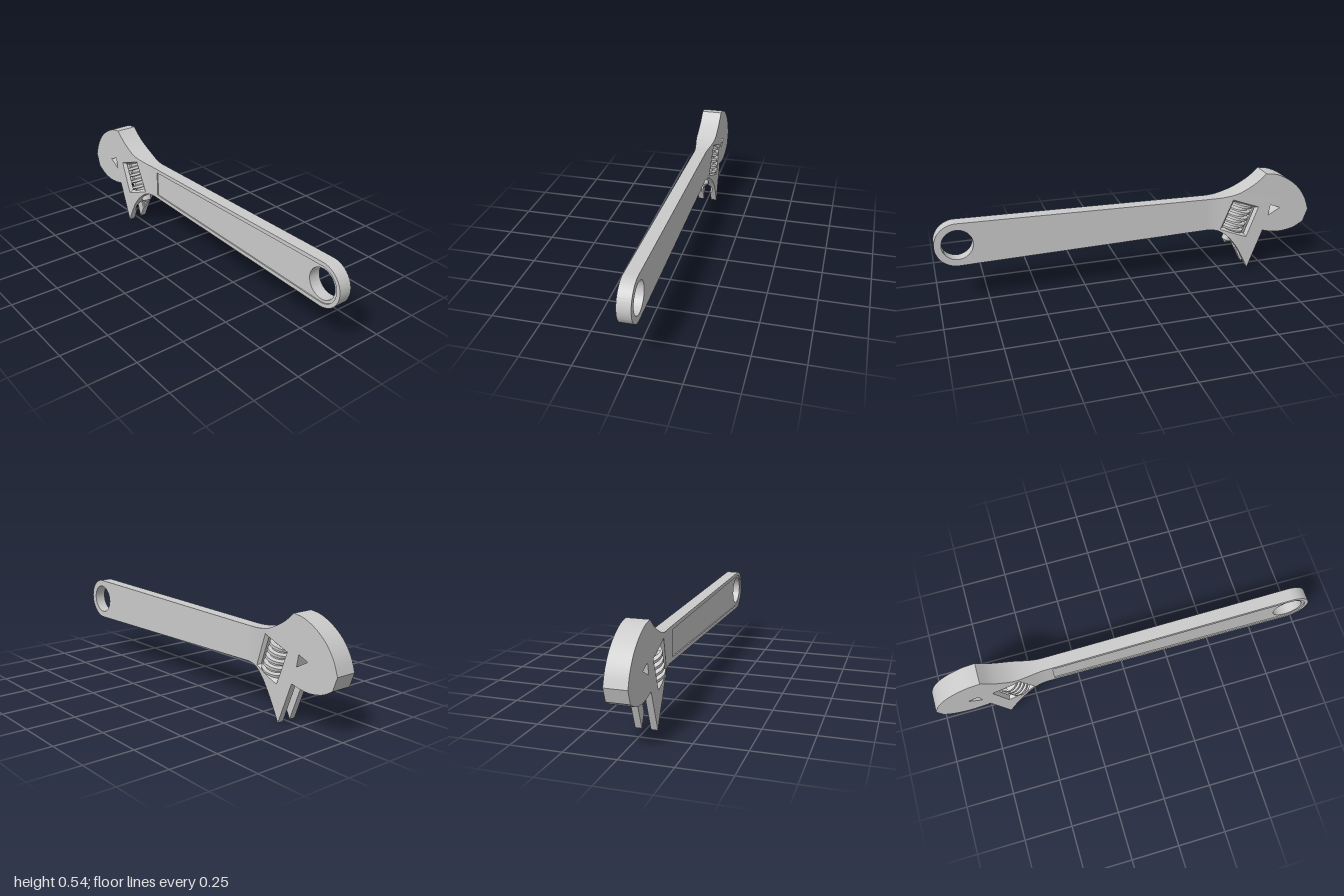
import * as THREE from 'three';
import { mergeGeometries, toCreasedNormals } from 'three/addons/utils/BufferGeometryUtils.js';

const V = (x, y) => new THREE.Vector2(x, y);
const TILT = 0.362;                       // lean of the jaw slide
const TIP = V(-0.655, 0);                 // lower point of the head
const N = V(Math.cos(TILT), Math.sin(TILT));
const U = V(-Math.sin(TILT), Math.cos(TILT));
// Slide coordinates: n across the slide, s up along it
const P = (n, s) => V(TIP.x + n * N.x + s * U.x, TIP.y + n * N.y + s * U.y);
const across = p => (p.x - TIP.x) * N.x + (p.y - TIP.y) * N.y;
const along = p => (p.x - TIP.x) * U.x + (p.y - TIP.y) * U.y;

const WIN = { n: 0.159, s: 0.257, outN: 0.079, outS: 0.089, inN: 0.066, inS: 0.078 };
const BORE = 0.08, BORE_R = 0.037;
const Z = [0.022, 0.03, 0.036, 0.055];    // half-thickness steps of the head
const JOIN = -0.42, HANDLE_Z = 0.033;

const curve = (...pts) => new THREE.SplineCurve(pts.map(p => V(...p))).getPoints(20);
const belly = curve([-0.655, 0], [-0.615, 0.08], [-0.58, 0.14], [-0.535, 0.195], [-0.48, 0.233], [JOIN, 0.243]);
const nape = curve([JOIN, 0.418], [-0.49, 0.421], [-0.57, 0.436], [-0.634, 0.463], [-0.687, 0.495], [-0.735, 0.537]);
const crown = curve([-0.735, 0.537], [-0.8, 0.525], [-0.87, 0.49], [-0.93, 0.44], [-0.975, 0.375], [-1, 0.307]);
const jaw = curve([-0.976, 0.238], [-0.92, 0.208], [-0.85, 0.195], [-0.785, 0.2], [-0.735, 0.212]);
const rest = [...nape, ...crown.slice(1), ...jaw];

// Part of the belly curve before or after the line n = limit
function bellyPart(limit, after) {
  const i = belly.findIndex(p => across(p) > limit);
  const a = belly[i - 1], b = belly[i];
  const hit = a.clone().lerp(b, (limit - across(a)) / (across(b) - across(a)));
  return after ? [hit, ...belly.slice(i)] : [...belly.slice(0, i), hit];
}

// Head section; w is the half width of the bore there, slot opens it to the jaw edge
function headSection(w, slot) {
  const { n, s, outN, outS, inN, inS } = WIN;
  let pts = [...belly, ...rest];
  if (w) {
    const left = n - inN, right = n + inN, top = s + inS, low = s - inS;
    const entry = slot ? [P(left, 0.225)]
      : [...bellyPart(BORE - w, false), P(BORE - w, top - 0.002), P(left, top - 0.002)];
    pts = [...entry, P(left, top), P(right, top), P(right, low), P(BORE + w, low),
      ...bellyPart(BORE + w, true), ...rest];
  }
  const shape = new THREE.Shape(pts);
  if (!w) shape.holes.push(new THREE.Path([P(n - outN, s - outS), P(n + outN, s - outS), P(n + outN, s + outS), P(n - outN, s + outS)]));
  shape.holes.push(new THREE.Path([V(-0.83, 0.334), V(-0.773, 0.356), V(-0.762, 0.297)]));
  return shape;
}

function slab(shape, z0, z1) {
  const g = new THREE.ExtrudeGeometry(shape, { depth: z1 - z0, bevelEnabled: false, curveSegments: 40 });
  return g.translate(0, 0, z0);
}

// Cut the triangles that cross x = c so the faces can bend there
function splitAtX(tris, c) {
  const clip = (poly, sign) => poly.flatMap((a, i) => {
    const b = poly[(i + 1) % poly.length], da = (a.x - c) * sign, db = (b.x - c) * sign;
    const out = da >= 0 ? [a] : [];
    if (da * db < 0) out.push(a.clone().lerp(b, da / (da - db)));
    return out;
  });
  return tris.flatMap(t => {
    if (t.every(p => p.x > c - 1e-6) || t.every(p => p.x < c + 1e-6)) return [t];
    return [1, -1].flatMap(sign => {
      const q = clip(t, sign), fan = [];
      for (let i = 2; i < q.length; i++) fan.push([q[0], q[i - 1], q[i]]);
      return fan;
    });
  });
}

function headGeometry() {
  const layers = [slab(headSection(0.034, true), -Z[0], Z[0])];
  for (let i = 0; i < 3; i++) {
    const mid = (Z[i] + Z[i + 1]) / 2;
    const shape = headSection(i < 2 ? Math.sqrt(BORE_R ** 2 - mid ** 2) : 0, false);
    layers.push(slab(shape, Z[i], Z[i + 1]), slab(shape, -Z[i + 1], -Z[i]));
  }
  const pos = mergeGeometries(layers).getAttribute('position');
  let tris = [];
  for (let i = 0; i < pos.count; i++) {
    const p = new THREE.Vector3().fromBufferAttribute(pos, i);
    const dn = across(p) - WIN.n, ds = along(p) - WIN.s;
    // Chamfer round the window: narrow the outer layers inward
    if (Math.abs(Math.abs(p.z) - Z[2]) < 1e-5 && Math.abs(Math.abs(dn) - WIN.outN) < 1e-4 && Math.abs(Math.abs(ds) - WIN.outS) < 1e-4) {
      const q = P(WIN.n + Math.sign(dn) * WIN.inN, WIN.s + Math.sign(ds) * WIN.inS);
      p.set(q.x, q.y, p.z);
    }
    if (i % 3 === 0) tris.push([]);
    tris[tris.length - 1].push(p);
  }
  for (let x = -0.6; x < JOIN - 0.01; x += 0.0225) tris = splitAtX(tris, x);
  // Thin the neck down to the handle
  const pts = tris.flat().map(p => {
    const k = THREE.MathUtils.smoothstep(p.x, -0.6, JOIN);
    return new THREE.Vector3(p.x, p.y, p.z * (1 - k * (1 - HANDLE_Z / Z[3])));
  });
  return toCreasedNormals(new THREE.BufferGeometry().setFromPoints(pts), 0.5);
}

// Tapered bar with a round end, ending round the hanging hole
function barOutline(ShapeType, x0, y0, y1, r) {
  const s = new ShapeType();
  s.moveTo(x0, y0);
  s.lineTo(0.888, 0.33 - r);
  s.absarc(0.888, 0.33, r, -Math.PI / 2, Math.PI / 2, false);
  s.lineTo(x0, y1);
  s.closePath();
  return s;
}

// Screw thread: a ribbed lathe sheared by one pitch per turn, cut flat at both ends
function wormGeometry() {
  const half = 0.077, pitch = 0.036, core = 0.044, rim = 0.064;
  const profile = [V(0, -half - pitch), V(core, -half - pitch)];
  for (let y = -half - pitch; y < half - 0.01; y += pitch) {
    profile.push(V(core, y + 0.008), V(rim, y + 0.012), V(rim, y + 0.026), V(core, y + 0.03));
  }
  profile.push(V(core, half + 0.02), V(0, half + 0.02));
  const g = new THREE.LatheGeometry(profile, 48);
  const p = g.getAttribute('position'), uv = g.getAttribute('uv');
  for (let i = 0; i < p.count; i++) {
    p.setY(i, THREE.MathUtils.clamp(p.getY(i) + uv.getX(i) * pitch, -half, half));
  }
  return toCreasedNormals(g, 0.5);
}

export function createModel() {
  const root = new THREE.Group();
  root.name = 'adjustableWrench';
  const material = new THREE.MeshStandardMaterial({ color: 0xcccccc });
  const add = (parent, name, geometry) => {
    const mesh = new THREE.Mesh(geometry, material);
    mesh.name = name;
    parent.add(mesh);
  };

  add(root, 'head', headGeometry());

  // Handle with a shallow recess on the front only
  const floor = HANDLE_Z - 0.006;
  const bar = barOutline(THREE.Shape, JOIN, 0.243, 0.418, 0.112);
  bar.holes.push(new THREE.Path().absarc(0.888, 0.33, 0.0775, 0, Math.PI * 2, true));
  add(root, 'handle', toCreasedNormals(slab(bar, -HANDLE_Z, floor), 0.5));
  const rim = barOutline(THREE.Shape, JOIN, 0.243, 0.418, 0.112);
  rim.holes.push(barOutline(THREE.Path, -0.38, 0.263, 0.398, 0.092));
  add(root, 'handleRim', toCreasedNormals(slab(rim, floor, HANDLE_Z), 0.5));

  // Adjusting screw and its pin share the tilted axis
  const screw = new THREE.Group();
  screw.name = 'adjustingScrew';
  const centre = P(WIN.n, WIN.s);
  screw.position.set(centre.x, centre.y, 0);
  screw.rotation.z = TILT;
  root.add(screw);
  add(screw, 'worm', wormGeometry());
  const pin = [V(0, -0.168), V(0.026, -0.145), V(0.026, 0.095), V(0, 0.095)];
  add(screw, 'pin', toCreasedNormals(new THREE.LatheGeometry(pin, 32), 0.5));

  return root;
}
